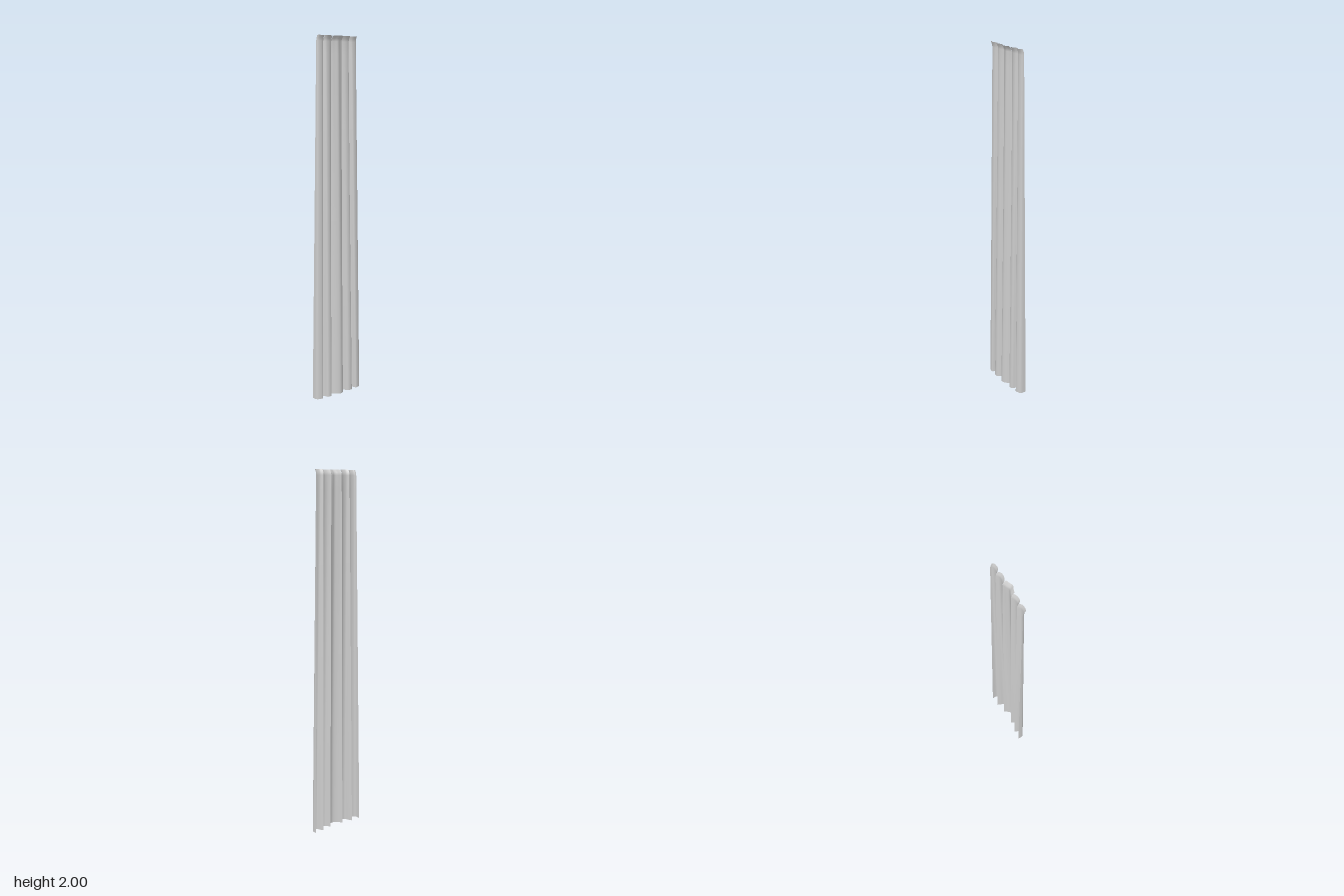
import * as THREE from 'three';

// Half cross-sections [x, z] of each flute, from crease to crease
const flutes = [
  { name: 'middleFlute',
    bottom: [[-0.045, -0.014], [-0.035, 0.002], [-0.02, 0.018], [0, 0.026], [0.02, 0.018], [0.035, 0.002], [0.045, -0.014]],
    top: [[-0.036, -0.014], [-0.029, -0.011], [-0.017, -0.007], [0, 0], [0.017, -0.007], [0.029, -0.011], [0.036, -0.014]],
    lip: 0.018 },
  { name: 'innerFlute', mirrored: true,
    bottom: [[0.045, -0.014], [0.055, 0.005], [0.066, 0.019], [0.09, 0.018], [0.099, -0.005], [0.109, -0.026]],
    top: [[0.036, -0.014], [0.046, -0.009], [0.058, -0.005], [0.075, -0.005], [0.084, -0.01], [0.09, -0.016]],
    lip: 0.012 },
  { name: 'outerFlute', mirrored: true,
    bottom: [[0.109, -0.026], [0.119, -0.006], [0.126, 0.015], [0.146, 0.013], [0.162, 0.003], [0.164, -0.029]],
    top: [[0.09, -0.016], [0.097, -0.009], [0.105, -0.004], [0.122, -0.003], [0.134, -0.007], [0.138, -0.016]],
    lip: 0.009 },
];

const STEPS = 18;

function smooth(points, side) {
  const curve = new THREE.CatmullRomCurve3(points.map(([x, z]) => new THREE.Vector3(x * side, 0, z)));
  return Array.from({ length: STEPS + 1 }, (_, i) => curve.getPoint(i / STEPS));
}

// Loft one flute from the wide foot to the narrow top, ending in a small forward lip
function fluteGeometry({ bottom, top, lip }, side) {
  const foot = smooth(bottom, side);
  const head = smooth(top, side);
  const heights = [0, 0.5, 1, 1.5, 1.9, 1.97, 1.985, 2];
  const positions = [];
  const index = [];
  heights.forEach((y, row) => {
    const bend = Math.max(0, (y - 1.97) / 0.03) ** 2;
    for (let i = 0; i <= STEPS; i++) {
      const p = foot[i].clone().lerp(head[i], y / 2);
      positions.push(p.x, y, p.z + lip * bend);
      if (row && i) {
        const d = row * (STEPS + 1) + i;
        const c = d - 1, b = d - STEPS - 1, a = b - 1;
        if (side > 0) index.push(a, b, d, a, d, c);
        else index.push(a, d, b, a, c, d);
      }
    }
  });
  const geometry = new THREE.BufferGeometry();
  geometry.setAttribute('position', new THREE.Float32BufferAttribute(positions, 3));
  geometry.setIndex(index);
  geometry.computeVertexNormals();
  return geometry;
}

export function createModel() {
  const group = new THREE.Group();
  group.name = 'flutedPanel';
  const material = new THREE.MeshStandardMaterial({ color: 0xcccccc, side: THREE.DoubleSide });
  for (const flute of flutes) {
    for (const side of flute.mirrored ? [1, -1] : [1]) {
      const mesh = new THREE.Mesh(fluteGeometry(flute, side), material);
      mesh.name = flute.mirrored ? (side > 0 ? 'left' : 'right') + flute.name[0].toUpperCase() + flute.name.slice(1) : flute.name;
      group.add(mesh);
    }
  }
  return group;
}
